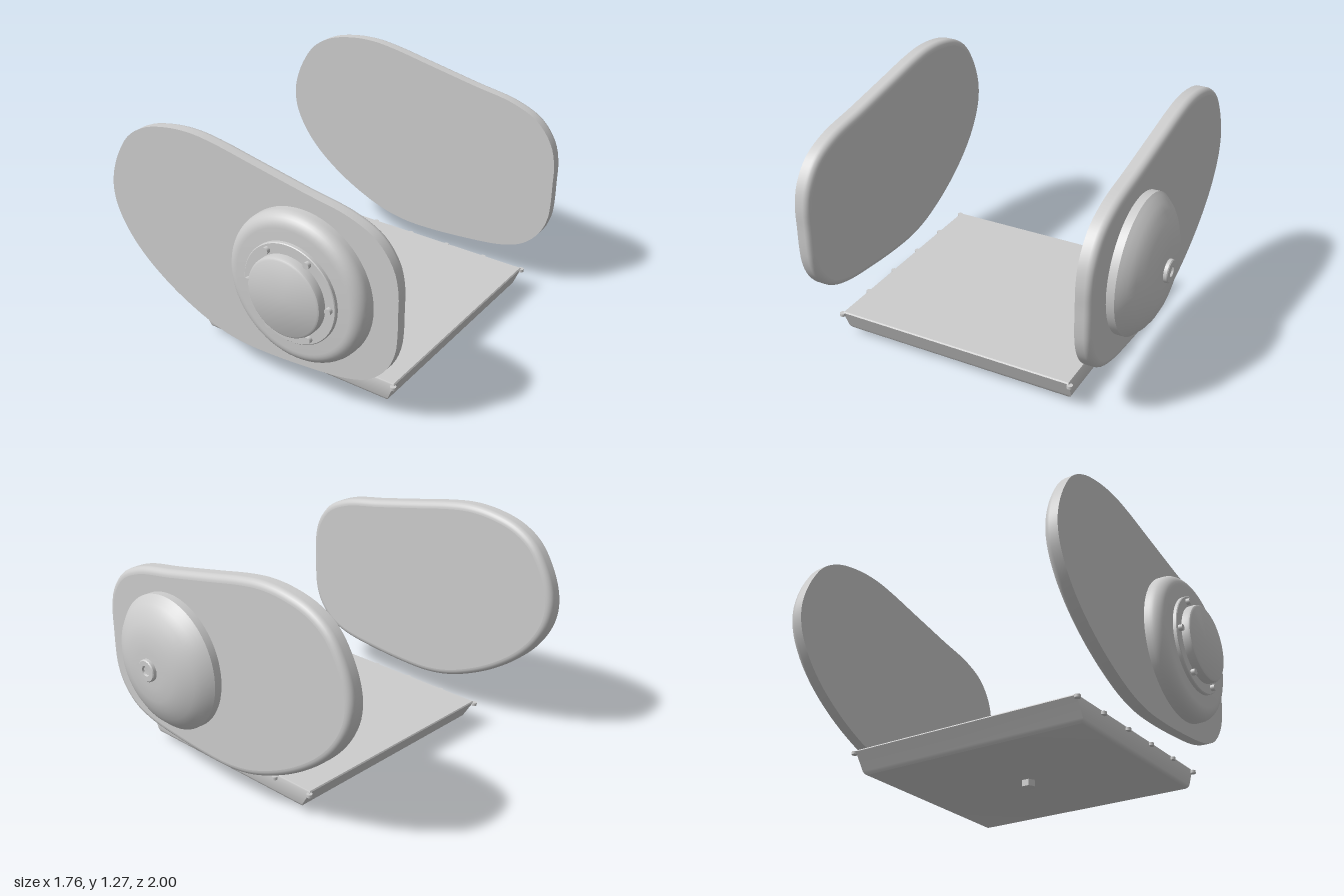
import * as THREE from 'three';
import { mergeGeometries, mergeVertices, toCreasedNormals } from 'three/addons/utils/BufferGeometryUtils.js';

const HUB_X = 0.348, HUB_Y = 0.664;

// Side cover outline, counter-clockwise seen from the front
const OUTLINE = [
  [0.876, 0.56], [0.877, 0.68], [0.876, 0.80], [0.848, 0.915], [0.76, 1.03], [0.61, 1.102],
  [0.35, 1.152], [0.05, 1.211], [-0.17, 1.254], [-0.31, 1.27], [-0.46, 1.262], [-0.62, 1.222],
  [-0.74, 1.145], [-0.825, 1.02], [-0.87, 0.90], [-0.88, 0.81], [-0.862, 0.71], [-0.80, 0.59],
  [-0.70, 0.475], [-0.55, 0.36], [-0.38, 0.267], [-0.21, 0.202], [-0.07, 0.175], [0.08, 0.17],
  [0.34, 0.185], [0.60, 0.22], [0.73, 0.272], [0.825, 0.37], [0.866, 0.47],
];

// Plate with a sharp front edge and a rounded back edge
function coverGeometry(depth, radius) {
  const curve = new THREE.CatmullRomCurve3(
    OUTLINE.map(([x, y]) => new THREE.Vector3(x, y, 0)), true, 'centripetal');
  const n = 140, steps = 6, pos = [], index = [];
  const ring = (inset) => Array.from({ length: n }, (_, i) => {
    const p = curve.getPointAt(i / n), t = curve.getTangentAt(i / n);
    return new THREE.Vector2(p.x - t.y * inset, p.y + t.x * inset);
  });
  const layers = [[0, depth]];
  for (let k = 0; k <= steps; k++) {
    const a = (k / steps) * Math.PI / 2;
    layers.push([radius * (1 - Math.cos(a)), radius * (1 - Math.sin(a))]);
  }
  layers.forEach(([inset, z], j) => {
    ring(inset).forEach((p, i) => {
      pos.push(p.x, p.y, z);
      if (j === 0) return;
      const i2 = (i + 1) % n, a = (j - 1) * n, b = j * n;
      index.push(a + i, b + i, b + i2, a + i, b + i2, a + i2);
    });
  });
  const rim = new THREE.BufferGeometry();
  rim.setAttribute('position', new THREE.Float32BufferAttribute(pos, 3));
  rim.setIndex(index);
  rim.computeVertexNormals();
  const front = new THREE.ShapeGeometry(new THREE.Shape(ring(0))).translate(0, 0, depth);
  const back = new THREE.ShapeGeometry(new THREE.Shape(ring(radius))).rotateY(Math.PI).scale(-1, 1, 1);
  // the mirrored cap has its corners reversed twice, so set its winding explicitly
  const cap = new THREE.ShapeGeometry(new THREE.Shape(ring(radius)));
  back.setIndex(Array.from(cap.index.array).reverse());
  back.setAttribute('position', cap.attributes.position);
  back.computeVertexNormals();
  [front, back].forEach((g) => g.deleteAttribute('uv'));
  return mergeGeometries([rim, front, back]);
}

// Turned part along z: profile of [radius, z]
function turned(profile, sides = 64, crease = 0.6) {
  const g = new THREE.LatheGeometry(profile.map(([r, z]) => new THREE.Vector2(r, z)), sides);
  g.rotateX(Math.PI / 2);
  return toCreasedNormals(g, crease);
}

// Shallow pan with sloping ends and softened lower edges
function trayGeometry() {
  const levels = [ // y, x min, x max, half depth
    [0.155, -0.466, 0.76, 0.664], [0.148, -0.47, 0.765, 0.668], [0.055, -0.412, 0.728, 0.664],
    [0.043, -0.405, 0.723, 0.659], [0.035, -0.396, 0.717, 0.647],
  ];
  const g = new THREE.BoxGeometry(1, 1, 1, 1, levels.length - 1, 1);
  const p = g.attributes.position;
  for (let i = 0; i < p.count; i++) {
    const [y, x0, x1, d] = levels[Math.round((0.5 - p.getY(i)) * (levels.length - 1))];
    p.setXYZ(i, p.getX(i) < 0 ? x0 : x1, y, 0.006 + Math.sign(p.getZ(i)) * d);
  }
  g.deleteAttribute('uv');
  g.deleteAttribute('normal');
  return toCreasedNormals(mergeVertices(g), 0.65);
}

export function createModel() {
  const model = new THREE.Group();
  const metal = new THREE.MeshStandardMaterial({ color: 0xcccccc });
  metal.name = 'metalGrey';
  const add = (name, geometry, x = 0, y = 0, z = 0, parent = model) => {
    const m = new THREE.Mesh(geometry, metal);
    m.name = name;
    m.position.set(x, y, z);
    parent.add(m);
    return m;
  };

  // Side covers, both rounded towards the back
  const cover = coverGeometry(0.082, 0.036);
  add('frontCover', cover, 0, 0, 0.752);
  add('backCover', cover, 0, 0, -0.816);

  // Front hub: rounded drum, flange and raised cap
  const hub = new THREE.Group();
  hub.name = 'frontHub';
  hub.position.set(HUB_X, HUB_Y, 0);
  model.add(hub);
  const drum = [[0.398, 0.83], [0.398, 0.862]];
  for (let k = 1; k <= 8; k++) {
    const a = (k / 8) * Math.PI / 2;
    drum.push([0.328 + 0.07 * Math.cos(a), 0.862 + 0.068 * Math.sin(a)]);
  }
  drum.push([0, 0.93]);
  add('hubDrum', turned(drum), 0, 0, 0, hub);
  add('hubFlange', turned([[0.266, 0.925], [0.266, 0.947], [0.262, 0.951], [0, 0.951]]), 0, 0, 0, hub);
  add('hubCap', turned([[0.21, 0.945], [0.21, 0.984], [0.206, 0.994], [0.197, 1], [0, 1]]), 0, 0, 0, hub);
  const hubBolt = new THREE.CylinderGeometry(0.017, 0.017, 0.03, 16).rotateX(Math.PI / 2);
  for (let i = 0; i < 6; i++) {
    const a = (i * Math.PI) / 3;
    add('hubBolt', hubBolt, 0.235 * Math.cos(a), 0.235 * Math.sin(a), 0.957, hub);
  }

  // Back dome with a small dished button, turned to face the back
  const dome = new THREE.Group();
  dome.name = 'backDome';
  dome.position.set(HUB_X, HUB_Y, 0);
  dome.rotation.y = Math.PI;
  model.add(dome);
  add('domeShell', turned([[0.365, 0.81], [0.365, 0.858], [0.352, 0.873], [0.325, 0.902], [0.288, 0.928],
    [0.235, 0.953], [0.175, 0.972], [0.1, 0.977], [0, 0.979]]), 0, 0, 0, dome);
  add('domeButton', turned([[0.06, 0.97], [0.06, 0.995], [0.055, 1], [0.028, 1], [0.024, 0.99], [0, 0.988]], 32),
    0, 0, 0, dome);

  // Tray with bolts along its long edges
  add('tray', trayGeometry());
  const trayBolt = new THREE.CylinderGeometry(0.016, 0.016, 0.016, 16);
  for (const z of [-0.667, 0.679]) {
    for (let i = 0; i < 6; i++) add('trayBolt', trayBolt, -0.472 + i * 0.247, 0.138, z);
  }

  // Hexagonal drain plug
  add('drainPlug', toCreasedNormals(new THREE.CylinderGeometry(0.038, 0.038, 0.04, 6), 0.5), 0.147, 0.02, 0.012);
  return model;
}
